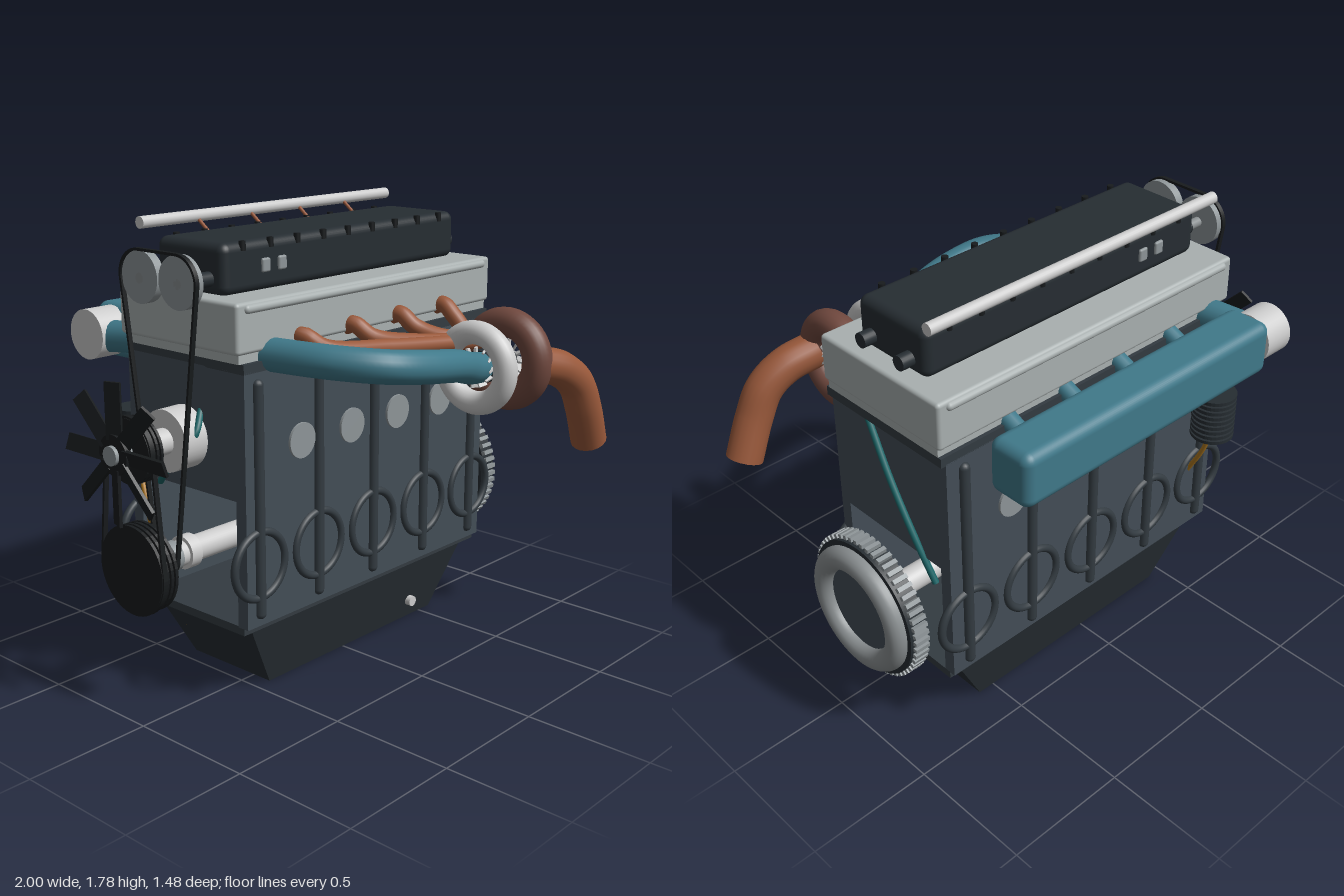
import * as THREE from 'three';
import { RoundedBoxGeometry } from 'three/addons/geometries/RoundedBoxGeometry.js';

export function createModel() {
  const root = new THREE.Group();
  const mat = (color) => new THREE.MeshStandardMaterial({ color });
  const M = {
    block: mat(0x434d56), dark: mat(0x262d32), rib: mat(0x333b41), black: mat(0x181b1d),
    head: mat(0xa9b0b0), silver: mat(0xcccccc), plug: mat(0x8e9598), steel: mat(0x8a8f91),
    copper: mat(0x8c5440), header: mat(0x98583a), turbine: mat(0x70483e),
    teal: mat(0x40798a), coolant: mat(0x1c6668), gold: mat(0xa8741f),
  };
  const CZ = -0.125, CRANK_Y = 0.55;
  const CYL = [-0.35, -0.07, 0.205, 0.48];        // cylinder positions
  const MAINS = [-0.574, -0.256, 0.064, 0.384, 0.702]; // main bearing positions

  // Helpers
  const add = (name, geo, m, x = 0, y = 0, z = 0, parent = root) => {
    const mesh = new THREE.Mesh(geo, m);
    mesh.name = name;
    mesh.position.set(x, y, z);
    parent.add(mesh);
    return mesh;
  };
  // Box given by its limits on each axis, optionally rounded
  const box = (name, m, x0, x1, y0, y1, z0, z1, r = 0) => {
    const s = [x1 - x0, y1 - y0, z1 - z0];
    const g = r ? new RoundedBoxGeometry(...s, 4, r) : new THREE.BoxGeometry(...s);
    return add(name, g, m, (x0 + x1) / 2, (y0 + y1) / 2, (z0 + z1) / 2);
  };
  const cylX = (name, m, x0, x1, r, y, z, seg = 36) =>
    add(name, new THREE.CylinderGeometry(r, r, x1 - x0, seg).rotateZ(-Math.PI / 2), m, (x0 + x1) / 2, y, z);
  const torusX = (name, m, R, r, x, y, z) =>
    add(name, new THREE.TorusGeometry(R, r, 20, 56).rotateY(Math.PI / 2), m, x, y, z);
  const disc = (r, h) => new THREE.CylinderGeometry(r, r, h, 28).rotateX(Math.PI / 2);
  // Curved pipe with closed ends
  const pipe = (name, m, r, pts, n = 48) => {
    const curve = new THREE.CatmullRomCurve3(pts.map((p) => new THREE.Vector3(...p)));
    add(name, new THREE.TubeGeometry(curve, n, r, 18, false), m);
    [0, 1].forEach((t) => {
      const cap = add(name + 'End', new THREE.CircleGeometry(r, 18), m);
      cap.position.copy(curve.getPointAt(t));
      const dir = curve.getTangentAt(t).multiplyScalar(t ? 1 : -1);
      cap.quaternion.setFromUnitVectors(new THREE.Vector3(0, 0, 1), dir);
    });
  };
  // Ribbed drum profile turned about its axis
  const ribbed = (r, h, count, depth) => {
    const pts = [new THREE.Vector2(0, -h / 2)];
    for (let i = 0; i < count; i++) {
      const a = -h / 2 + (i * h) / count, d = h / count;
      pts.push(new THREE.Vector2(r, a), new THREE.Vector2(r, a + d * 0.6));
      if (i < count - 1) pts.push(new THREE.Vector2(r - depth, a + d * 0.65), new THREE.Vector2(r - depth, a + d * 0.95));
    }
    pts.push(new THREE.Vector2(0, h / 2 - (h / count) * 0.4));
    const g = new THREE.LatheGeometry(pts, 36).toNonIndexed();
    g.computeVertexNormals();
    return g;
  };

  // Engine block: solid upper half, crankcase open at both ends
  box('upperBlock', M.block, -0.64, 0.78, 0.8, 1.28, -0.435, 0.185);
  box('crankcaseWall', M.block, -0.64, 0.78, 0.31, 0.8, 0.135, 0.185);
  box('crankcaseWall', M.block, -0.64, 0.78, 0.31, 0.8, -0.435, -0.385);
  box('panRail', M.rib, -0.635, 0.78, 0.28, 0.312, -0.41, 0.16);

  // Oil pan tapering towards the bottom
  const pan = new THREE.BoxGeometry(1.3, 0.28, 0.53);
  const p = pan.attributes.position;
  for (let i = 0; i < p.count; i++) {
    if (p.getY(i) < 0) p.setX(i, p.getX(i) * 0.77), p.setZ(i, p.getZ(i) * 0.79);
  }
  pan.computeVertexNormals();
  add('oilPan', pan, M.dark, 0.07, 0.14, CZ);
  add('drainPlug', disc(0.022, 0.05), M.silver, 0.41, 0.08, 0.1);

  // Side ribs, bearing rings and core plugs on both faces
  [0.185, -0.435].forEach((z) => {
    MAINS.forEach((x) => {
      add('sideRib', new THREE.CapsuleGeometry(0.022, 0.87, 6, 14), M.rib, x, 0.795, z);
      add('bearingRing', new THREE.TorusGeometry(0.128, 0.016, 14, 48), M.rib, x, CRANK_Y, z);
    });
    CYL.forEach((x) => add('corePlug', disc(0.068, 0.02), M.plug, x, 0.98, z));
  });

  // Cylinder head
  box('headGasket', M.rib, -0.64, 0.8, 1.275, 1.312, -0.435, 0.185);
  box('lowerHead', M.head, -0.65, 0.8, 1.312, 1.36, -0.42, 0.17);
  box('upperHead', M.head, -0.67, 0.81, 1.345, 1.53, -0.44, 0.185, 0.015);
  [0.18, -0.435].forEach((z) =>
    add('headRail', new THREE.CapsuleGeometry(0.017, 1.37, 6, 14).rotateZ(Math.PI / 2), M.head, 0.07, 1.505, z));

  // Valve cover with edge bolts and end nubs
  box('valveCover', M.dark, -0.6, 0.74, 1.525, 1.715, -0.305, 0.05, 0.035);
  for (let i = 0; i < 9; i++) {
    [-0.3, 0.045].forEach((z) =>
      add('coverBolt', new THREE.CylinderGeometry(0.013, 0.013, 0.035, 12), M.black, -0.5 + i * 0.1415, 1.7, z));
  }
  [-0.39, -0.305].forEach((x) =>
    [-0.305, 0.05].forEach((z) => add('coverSensor', new RoundedBoxGeometry(0.042, 0.052, 0.02, 2, 0.008), M.plug, x, 1.62, z)));

  // Camshafts, cam pulleys and timing belt
  [-0.025, -0.225].forEach((z) => {
    cylX('camEnd', M.dark, -0.655, 0.79, 0.028, 1.585, z, 20);
    cylX('camStub', M.steel, -0.75, -0.63, 0.02, 1.585, z, 16);
    cylX('camPulley', M.plug, -0.75, -0.715, 0.097, 1.59, z);
  });
  const beltShape = (yTop, rTop, zs, yBot, rBot, inset) => {
    const s = new THREE.Shape(), a = rTop - inset, b = rBot - inset;
    s.absarc(zs[1], yTop, a, 0, Math.PI / 2, false);
    s.absarc(zs[0], yTop, a, Math.PI / 2, Math.PI, false);
    s.absarc(CZ, yBot, b, Math.PI, 2 * Math.PI, false);
    s.closePath();
    return s;
  };
  const belt = (name, x, w, ...dims) => {
    const s = beltShape(...dims, 0);
    s.holes.push(beltShape(...dims, 0.01));
    const g = new THREE.ExtrudeGeometry(s, { depth: w, bevelEnabled: false, curveSegments: 20 });
    add(name, g.rotateY(-Math.PI / 2), M.black, x, 0, 0);
  };
  belt('timingBelt', -0.74, 0.018, 1.59, 0.104, [-0.225, -0.025], CRANK_Y, 0.062);
  belt('fanBelt', -0.9, 0.02, 1.0, 0.13, [CZ, CZ], CRANK_Y, 0.175);

  // Fuel rail and injector lines
  cylX('fuelRail', M.silver, -0.63, 0.77, 0.023, 1.76, -0.355, 20);
  CYL.forEach((x) => pipe('injectorLine', M.header, 0.007, [[x, 1.755, -0.35], [x, 1.7, -0.28], [x, 1.6, -0.16]], 10));

  // Crankshaft with front pulley
  cylX('crankshaft', M.silver, -0.84, 0.9, 0.05, CRANK_Y, CZ);
  cylX('crankCollar', M.plug, -0.755, -0.715, 0.058, CRANK_Y, CZ);
  cylX('crankCollar', M.silver, -0.68, -0.63, 0.065, CRANK_Y, CZ);
  add('crankPulley', ribbed(0.17, 0.085, 4, 0.012).rotateZ(-Math.PI / 2), M.black, -0.88, CRANK_Y, CZ);

  // Water pump, pulley and fan
  cylX('waterPump', M.silver, -0.745, -0.64, 0.118, 1.0, CZ);
  cylX('pumpShaft', M.silver, -0.87, -0.7, 0.05, 1.0, CZ);
  add('pumpPulley', ribbed(0.122, 0.075, 4, 0.014).rotateZ(-Math.PI / 2), M.black, -0.885, 1.0, CZ);
  cylX('fanHub', M.plug, -1.0, -0.92, 0.036, 1.0, CZ);
  cylX('fanPlate', M.black, -0.985, -0.96, 0.075, 1.0, CZ);
  for (let i = 0; i < 8; i++) {
    const arm = new THREE.Group();
    arm.name = 'fanBlade';
    arm.position.set(-0.973, 1.0, CZ);
    arm.rotation.x = (i * Math.PI) / 4;
    add('blade', new THREE.BoxGeometry(0.012, 0.21, 0.062), M.black, 0, 0.158, 0, arm).rotation.y = 0.35;
    root.add(arm);
  }

  // Toothed flywheel
  cylX('flywheel', M.dark, 0.87, 0.945, 0.275, CRANK_Y, CZ, 60);
  torusX('flywheelRing', M.steel, 0.21, 0.046, 0.953, CRANK_Y, CZ);
  cylX('flywheelFace', M.block, 0.94, 0.957, 0.2, CRANK_Y, CZ);
  for (let i = 0; i < 56; i++) {
    const a = (i / 56) * Math.PI * 2;
    const t = add('flywheelTooth', new THREE.BoxGeometry(0.062, 0.026, 0.017), M.plug, 0.903,
      CRANK_Y + Math.cos(a) * 0.279, CZ + Math.sin(a) * 0.279);
    t.rotation.x = a;
  }

  // Turbocharger
  torusX('compressorHousing', M.silver, 0.14, 0.047, 0.348, 1.175, 0.463);
  torusX('turbineHousing', M.turbine, 0.148, 0.06, 0.543, 1.18, 0.47);
  cylX('turboCore', M.dark, 0.36, 0.53, 0.068, 1.175, 0.465);
  [0.335, 0.56].forEach((x) => {
    cylX('turboHub', M.silver, x - 0.03, x + 0.03, 0.026, 1.18, 0.47, 20);
    for (let i = 0; i < 12; i++) {
      const g = new THREE.BoxGeometry(0.035, 0.06, 0.009).rotateY(0.4).translate(0, 0.05, 0);
      add('turboBlade', g, M.silver, x, 1.18, 0.47).rotation.x = (i * Math.PI) / 6;
    }
  });
  pipe('exhaustOutlet', M.header, 0.074,
    [[0.55, 1.18, 0.6], [0.68, 1.14, 0.635], [0.77, 1.07, 0.655], [0.83, 0.96, 0.66], [0.905, 0.8, 0.65]]);

  // Exhaust header pipes gathering at the turbine
  CYL.forEach((x, i) => {
    const end = [0.52, 1.25, 0.4];
    const mid = (t, y, z) => [x + (end[0] - x) * t, y, z];
    pipe('exhaustHeader', M.header, 0.033, [[x, 1.36, 0.15], [x, 1.375, 0.2], mid(0.06, 1.33, 0.255),
      mid(0.4, 1.29 - i * 0.005, 0.305), mid(0.8, 1.26, 0.36), end]);
  });

  // Intake: charge pipe, throttle body, plenum and runners
  pipe('chargePipe', M.teal, 0.062, [[-0.61, 1.3, -0.62], [-0.58, 1.31, -0.47], [-0.52, 1.325, -0.1], [-0.49, 1.325, 0.18],
    [-0.43, 1.322, 0.42], [-0.32, 1.31, 0.56], [-0.15, 1.285, 0.595], [0.08, 1.245, 0.565], [0.24, 1.2, 0.51], [0.36, 1.175, 0.47]], 90);
  box('intakePlenum', M.teal, -0.55, 0.7, 1.2, 1.415, -0.74, -0.55, 0.04);
  cylX('throttleBody', M.silver, -0.67, -0.54, 0.098, 1.31, -0.645);
  CYL.forEach((x) => pipe('intakeRunner', M.teal, 0.036, [[x, 1.31, -0.6], [x, 1.28, -0.52], [x, 1.32, -0.4]], 16));

  // Oil filter and oil lines
  add('oilFilter', ribbed(0.087, 0.205, 9, 0.01), M.dark, -0.53, 0.925, -0.525);
  pipe('oilLine', M.gold, 0.01, [[-0.53, 0.85, -0.53], [-0.53, 0.72, -0.49], [-0.52, 0.58, -0.42]], 16);
  pipe('oilLine', M.gold, 0.01, [[-0.56, 0.85, -0.5], [-0.64, 0.72, -0.37], [-0.6, 0.5, -0.36], [-0.5, 0.15, -0.3]], 24);

  // Coolant hoses on both ends
  pipe('coolantHose', M.coolant, 0.013, [[0.785, 1.29, -0.02], [0.795, 1.08, -0.14], [0.79, 0.87, -0.26], [0.77, 0.7, -0.34]], 20);
  pipe('coolantHose', M.coolant, 0.013, [[-0.63, 1.11, -0.05], [-0.69, 1.03, -0.02], [-0.69, 0.9, -0.15], [-0.62, 0.78, -0.3]], 24);

  return root;
}
